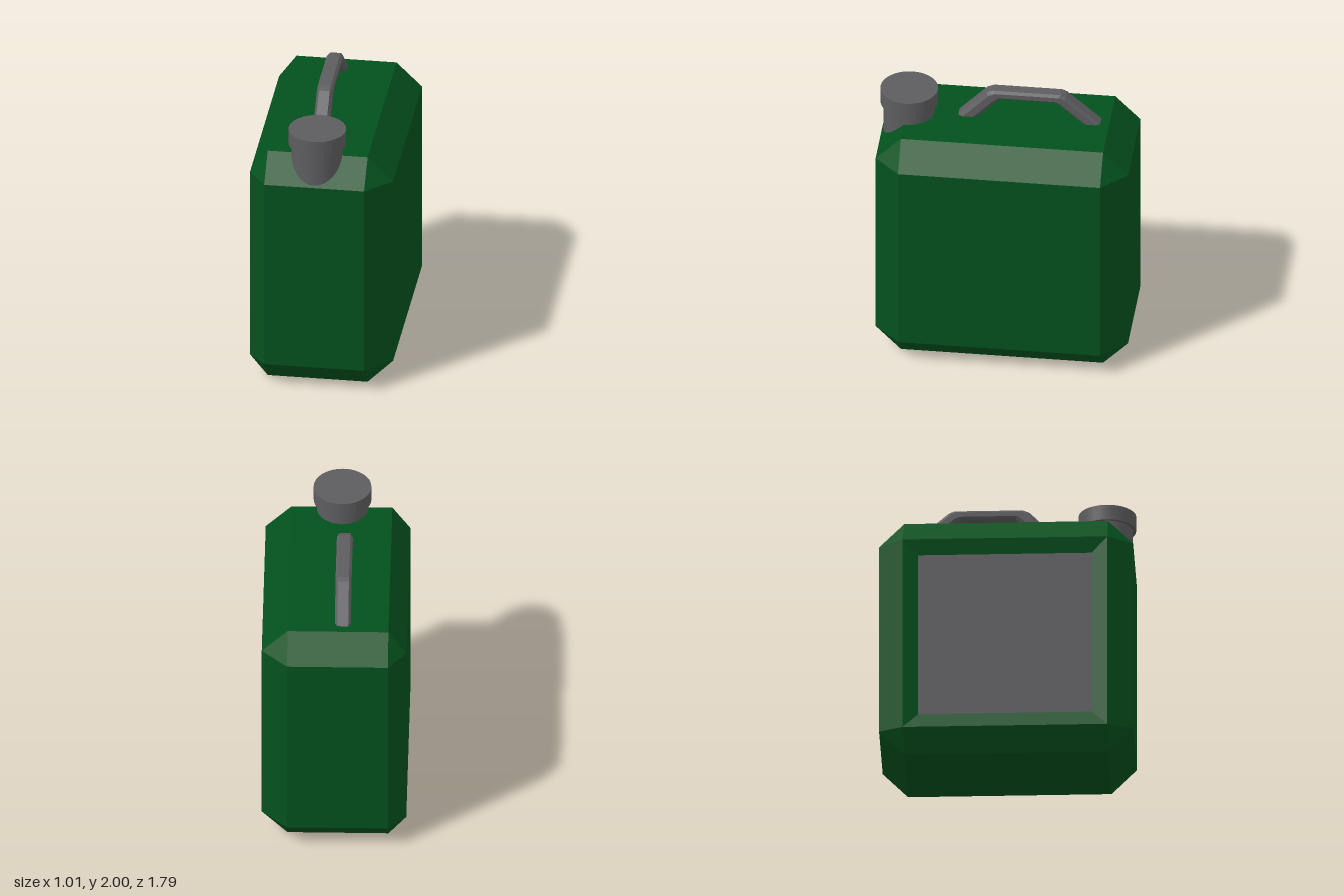
import * as THREE from 'three';
import { ConvexGeometry } from 'three/addons/geometries/ConvexGeometry.js';

function fromPositions(positions) {
  const geometry = new THREE.BufferGeometry();
  geometry.setAttribute('position', new THREE.Float32BufferAttribute(positions, 3));
  geometry.computeVertexNormals();
  return geometry;
}

// Joins closed rings of points with flat faces
function loft(rings) {
  const positions = [];
  for (let i = 0; i < rings.length - 1; i++) {
    const count = rings[i].length;
    for (let k = 0; k < count; k++) {
      const n = (k + 1) % count;
      const a = rings[i][k], b = rings[i][n], c = rings[i + 1][k], d = rings[i + 1][n];
      positions.push(...a, ...c, ...b, ...b, ...c, ...d);
    }
  }
  return fromPositions(positions);
}

// Box with wide chamfers, three points per corner, left open on the right side
function bodyGeometry() {
  const xs = [{ out: -0.505, cut: -0.38 }, { out: 0.505, cut: 0.325 }];
  const ys = [{ out: 0, cut: 0.18 }, { out: 1.777, cut: 1.6 }];
  const zs = [{ out: -0.892, cut: -0.715 }, { out: 0.885, cut: 0.707 }];
  const points = [];
  for (const x of xs) for (const y of ys) for (const z of zs) {
    // the right side opening is slightly taller and longer
    const tall = x.out < 0 && y.out === 0 ? 0.155 : y.cut;
    const long = x.out < 0 && z.out < 0 ? -0.725 : z.cut;
    points.push(
      new THREE.Vector3(x.out, tall, long),
      new THREE.Vector3(x.cut, y.out, z.cut),
      new THREE.Vector3(x.cut, y.cut, z.out),
    );
  }
  const hull = new ConvexGeometry(points).getAttribute('position').array;
  const positions = [];
  for (let i = 0; i < hull.length; i += 9) {
    const onRightSide = Math.max(hull[i], hull[i + 3], hull[i + 6]) < -0.5;
    if (!onRightSide) positions.push(...hull.slice(i, i + 9));
  }
  return fromPositions(positions);
}

// Handle: eight-sided cross-sections from the front foot to the back foot
function handleGeometry() {
  // [outer z, outer y, inner z, inner y]
  const stations = [
    [0.385, 1.737, 0.25, 1.737], [0.15, 1.98, 0.075, 1.91], [0.1, 2, 0.05, 1.933],
    [-0.375, 2, -0.325, 1.933], [-0.412, 1.985, -0.365, 1.915], [-0.698, 1.737, -0.57, 1.737],
  ];
  // [x, share of the way from the inner to the outer edge]
  const section = [
    [0.056, 0.25], [0.056, 0.75], [0.038, 1], [-0.038, 1],
    [-0.056, 0.75], [-0.056, 0.25], [-0.038, 0], [0.038, 0],
  ];
  return loft(stations.map(([oz, oy, iz, iy]) =>
    section.map(([x, t]) => [x, iy + (oy - iy) * t, iz + (oz - iz) * t])));
}

export function createModel() {
  const model = new THREE.Group();
  model.name = 'fuelCanister';
  const green = new THREE.MeshStandardMaterial({ color: 0x03511d });
  green.name = 'canister green';
  const grey = new THREE.MeshStandardMaterial({ color: 0x5d5d60 });
  grey.name = 'fitting grey';

  const add = (name, geometry, material, x = 0, y = 0, z = 0) => {
    const mesh = new THREE.Mesh(geometry, material);
    mesh.name = name;
    mesh.position.set(x, y, z);
    model.add(mesh);
  };

  add('body', bodyGeometry(), green);

  // Right side: a surround sloping inwards to a sunken panel
  const rectangle = (x, inset) => {
    const y0 = 0.155 + inset, y1 = 1.6 - inset, z0 = -0.725 + inset, z1 = 0.707 - inset;
    return [[x, y0, z0], [x, y1, z0], [x, y1, z1], [x, y0, z1]];
  };
  const rim = rectangle(-0.505, 0);
  const sunk = rectangle(-0.475, 0.11);
  add('panelSurround', loft([rim, sunk]), green);
  const [p, q, r, s] = sunk;
  add('sidePanel', fromPositions([p, s, r, p, r, q].flat()), grey);

  // Spout neck and cap
  add('neck', new THREE.CylinderGeometry(0.18, 0.18, 0.29, 32, 1, true), grey, -0.032, 1.725, 0.692);
  add('cap', new THREE.CylinderGeometry(0.202, 0.202, 0.112, 32), grey, -0.032, 1.914, 0.692);

  // Carrying handle
  add('handle', handleGeometry(), grey, -0.06);

  return model;
}
